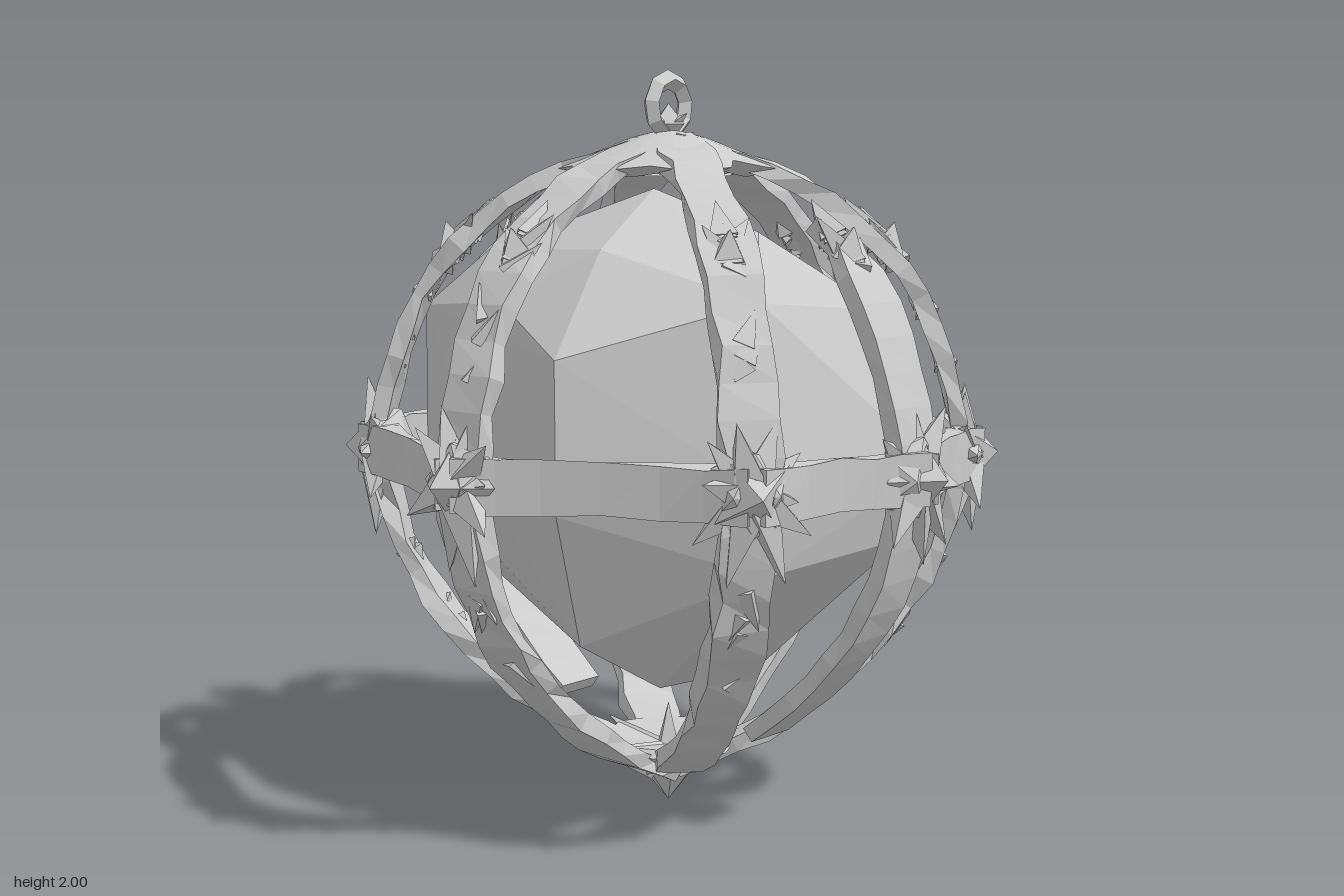
import * as THREE from 'three';
import { ConvexGeometry } from 'three/addons/geometries/ConvexGeometry.js';
import { mergeGeometries } from 'three/addons/utils/BufferGeometryUtils.js';

const V = (x, y, z) => new THREE.Vector3(x, y, z);

export function createModel() {
  const model = new THREE.Group();
  const mat = new THREE.MeshStandardMaterial({ color: 0xcccccc, flatShading: true, side: THREE.DoubleSide });
  let seed = 7;
  const rnd = (a, b) => {
    seed = (seed * 16807) % 2147483647;
    return a + (b - a) * (seed / 2147483647);
  };
  const add = (name, geo) => {
    const m = new THREE.Mesh(geo, mat);
    m.name = name;
    model.add(m);
  };

  // Flat strap swept along points; side = width direction, size(s) = [width, thickness] at s in 0..1
  const strap = (points, side, size, rough) => {
    const pos = [], idx = [], n = points.length;
    points.forEach((p, i) => {
      const t = points[Math.min(i + 1, n - 1)].clone().sub(points[Math.max(i - 1, 0)]).normalize();
      const out = side.clone().cross(t).normalize();
      const [width, thick] = size(i / (n - 1));
      for (const [a, b] of [[-1, -1], [1, -1], [1, 1], [-1, 1]]) {
        const c = p.clone()
          .addScaledVector(side, a * width / 2 + rnd(-rough, rough))
          .addScaledVector(out, b * thick / 2 + rnd(-rough, rough) * 0.6);
        pos.push(c.x, c.y, c.z);
      }
      if (i < n - 1) {
        for (let k = 0; k < 4; k++) {
          const a = i * 4 + k, b = i * 4 + (k + 1) % 4;
          idx.push(a, b, b + 4, a, b + 4, a + 4);
        }
      }
    });
    const e = (n - 1) * 4;
    idx.push(0, 2, 1, 0, 3, 2, e, e + 1, e + 2, e, e + 2, e + 3);
    const g = new THREE.BufferGeometry();
    g.setAttribute('position', new THREE.Float32BufferAttribute(pos, 3));
    g.setIndex(idx);
    g.computeVertexNormals();
    return g;
  };

  // Pointed four-sided thorn growing from a base point along a direction
  const thorn = (base, dir, length, radius) => {
    const g = new THREE.ConeGeometry(radius, length, 4, 1).translate(0, length / 2, 0);
    g.applyQuaternion(new THREE.Quaternion().setFromUnitVectors(V(0, 1, 0), dir.clone().normalize()));
    return g.translate(base.x, base.y, base.z);
  };

  // Chunky knot: radial, vertical and sideways half-sizes, turned to angle a
  const knot = (centre, a, sx, sy, sz) => {
    const g = new THREE.IcosahedronGeometry(1, 0).scale(sx, sy, sz).rotateY(-a);
    g.translate(centre.x, centre.y, centre.z);
    g.setIndex([...Array(g.attributes.position.count).keys()]);
    return g;
  };

  // Faceted core, roughly five-sided from above
  const corePoints = [
    [0, 1.69, -0.05], [-0.33, 1.54, 0.05], [0.3, 1.59, -0.1], [0.03, 1.58, 0.28], [-0.2, 1.52, -0.48],
    [-0.58, 1.28, 0.12], [-0.42, 1.4, -0.22], [0.53, 1.37, -0.15], [0.42, 1.36, 0.4], [-0.25, 1.42, 0.5],
    [-0.23, 1.36, -0.7], [0.2, 1.25, -0.48], [0.67, 1.12, -0.12], [0.45, 0.95, 0.56], [-0.28, 0.95, 0.57],
    [-0.61, 0.9, 0.15], [-0.45, 0.9, -0.25], [0.67, 0.9, -0.12], [-0.22, 0.85, -0.72], [0.2, 0.85, -0.48],
    [0.52, 0.7, 0.2], [0.4, 0.74, 0.5], [-0.47, 0.54, 0.1], [-0.25, 0.74, 0.52], [0.3, 0.4, 0.05],
    [0, 0.36, 0.05], [-0.25, 0.4, 0.18], [0.12, 0.39, 0.22], [-0.05, 0.47, -0.35], [0.3, 0.5, -0.25],
    [-0.15, 0.64, -0.58],
  ].map((p) => V(...p));
  add('core', new ConvexGeometry(corePoints));

  // Cage ribs: shared (radius, height) profile turned to each angle
  const curve = new THREE.CatmullRomCurve3([
    [0.03, 0.1], [0.25, 0.205], [0.48, 0.38], [0.66, 0.59], [0.755, 0.8], [0.785, 1.0],
    [0.75, 1.2], [0.655, 1.43], [0.52, 1.585], [0.39, 1.68], [0.2, 1.765], [0.02, 1.81],
  ].map(([r, y]) => V(r, y, 0)));
  const profile = curve.getSpacedPoints(28);
  const diag = THREE.MathUtils.degToRad(54);
  const angles = [0, diag, Math.PI / 2, Math.PI - diag, Math.PI, Math.PI + diag, Math.PI * 1.5, -diag];
  const at = (a, r, y) => V(Math.cos(a) * r, y, Math.sin(a) * r);
  const beltRadius = 0.8;

  angles.forEach((a, i) => {
    const open = i % 4 === 2; // front and back ribs stop short of the poles
    const side = V(-Math.sin(a), 0, Math.cos(a));
    const radial = at(a, 1, 0);
    const pts = profile
      .filter((p) => !open || (p.y > 0.25 && p.y < 1.62))
      .map((p) => at(a, p.x, p.y));
    const ribSize = (s) => (open ? [s > 0.9 ? 0.08 : 0.16, 0.045] : [0.135, 0.045]);
    add(open ? 'openRib' : 'rib', strap(pts, side, ribSize, open ? 0.005 : 0.014));

    // Thorny boss where the rib crosses the belt
    const centre = at(a, beltRadius - 0.01, 0.99);
    const parts = [
      thorn(centre, radial, 0.1, 0.12),
      knot(at(a, 0.775, 0.99), a, 0.08, 0.12, open ? 0.125 : 0.11),
    ];
    const count = open ? 8 : 10;
    for (let k = 0; k < count; k++) {
      const t = (k + rnd(-0.3, 0.3)) / count * Math.PI * 2;
      const dir = side.clone().multiplyScalar(Math.cos(t) * 0.75)
        .add(V(0, Math.sin(t), 0))
        .addScaledVector(radial, rnd(-0.1, 0.3));
      const long = 0.12 + (Math.sin(t) > 0 ? 0.07 : 0.12) * Math.abs(Math.sin(t));
      parts.push(thorn(centre, dir, long * rnd(0.85, 1.1), 0.07));
    }
    add('thornBoss', mergeGeometries(parts));

    // Broad leaf-like barbs along the rib
    const barbs = [];
    const barb = (u, spread, lift, length, radius) => {
      const p = curve.getPointAt(u), t = curve.getTangentAt(u);
      const dir = at(a, t.x, t.y).multiplyScalar(u > 0.5 ? 1 : -1)
        .addScaledVector(side, spread)
        .addScaledVector(radial, lift);
      barbs.push(thorn(at(a, p.x, p.y), dir, length, radius));
    };
    // Raised tuft on the upper part
    for (let k = 0; k < 5; k++) barb(0.72 + k * 0.01, (k % 3 - 1) * rnd(0.4, 0.8), rnd(0.1, 0.4), rnd(0.09, 0.13), 0.045);
    barb(0.765, 0, 0.25, 0.12, 0.05);
    barb(0.74, 0, 0.9, 0.08, 0.06);
    // Smaller barbs above and below the boss
    if (!open) {
      for (let k = 0; k < 7; k++) {
        barb(k < 4 ? rnd(0.27, 0.42) : rnd(0.58, 0.68), (k % 2 ? 1 : -1) * rnd(0.2, 0.6), rnd(0, 0.25), rnd(0.09, 0.13), 0.04);
      }
    }
    add('ribBarbs', mergeGeometries(barbs));

    // Straight belt bar to the next rib, thickening into the bosses
    const from = at(a, beltRadius, 0.99), to = at(angles[(i + 1) % 8], beltRadius, 0.99);
    const bar = [0, 0.15, 0.3, 0.5, 0.7, 0.85, 1].map((s) => from.clone().lerp(to, s));
    add('beltBar', strap(bar, V(0, 1, 0), (s) => [0.13, 0.035 + 0.3 * (s - 0.5) ** 2], 0.006));
  });

  // Crown cap, scalloped between the six full ribs
  const lathe = (pts, n) => new THREE.LatheGeometry(pts.map(([r, y]) => new THREE.Vector2(r, y)), n);
  const cap = lathe([[0.2, 1.725], [0.29, 1.745], [0.2, 1.785], [0.1, 1.825], [0, 1.85]], 24);
  const cp = cap.attributes.position;
  for (let i = 0; i < cp.count; i++) {
    const x = cp.getX(i), z = cp.getZ(i), r = Math.hypot(x, z);
    if (r < 0.15) continue;
    const near = Math.max(...angles.filter((_, k) => k % 4 !== 2).map((a) => (x * Math.cos(a) + z * Math.sin(a)) / r));
    const s = 0.75 + 0.3 * THREE.MathUtils.smoothstep(near, 0.8, 1);
    cp.setXYZ(i, x * s, cp.getY(i) + (1 - s) * 0.08, z * s);
  }
  add('crownCap', cap);

  // Hanging ring and its knot
  add('hangingRing', new THREE.TorusGeometry(0.07, 0.026, 4, 9).rotateZ(0.2).translate(0, 1.907, 0));
  add('ringKnot', new THREE.OctahedronGeometry(0.055, 0).translate(0, 1.86, 0));
  const collar = [];
  for (let k = 0; k < 4; k++) collar.push(thorn(V(0, 1.84, 0), at(k * Math.PI / 2, 0.8, 0.6), 0.08, 0.035));
  add('ringCollar', mergeGeometries(collar));

  // Bottom finial with a star of thorns and a short inner spike
  add('bottomFinial', lathe([[0, 0], [0.08, 0.1], [0.2, 0.17], [0.18, 0.19], [0, 0.16]], 8));
  const star = [thorn(V(0, 0.15, 0), V(0, 1, 0), 0.13, 0.04)];
  for (let k = 0; k < 8; k++) star.push(thorn(V(0, 0.11, 0), at(k * Math.PI / 4, 1, 0.42), 0.24, 0.06));
  add('bottomStar', mergeGeometries(star));

  return model;
}
